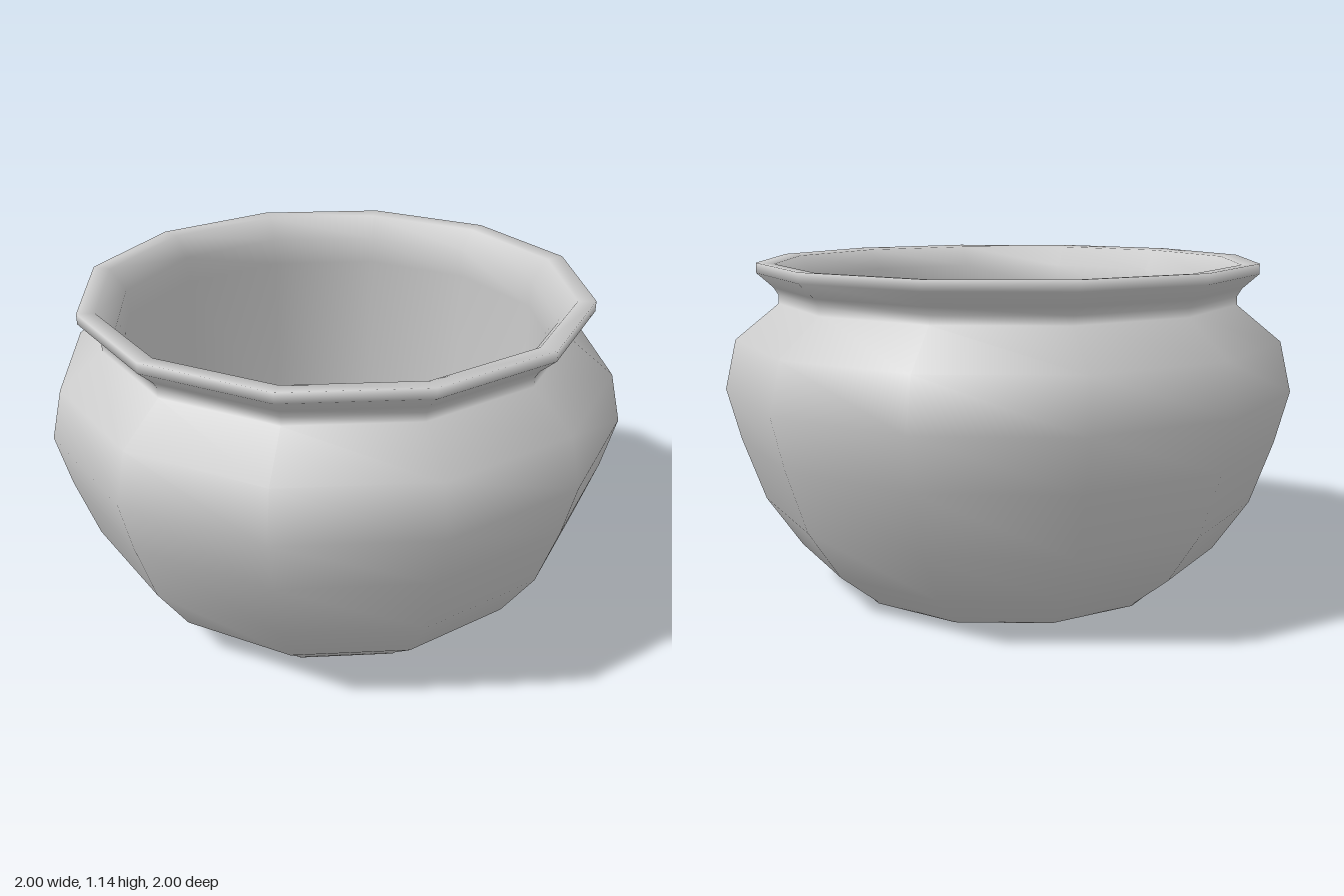
import * as THREE from 'three';

const SIDES = 12;

// Revolve a list of [radius, height] pairs into a smooth-shaded twelve-sided shell
function turned(name, profile) {
  const points = profile.map(([r, y]) => new THREE.Vector2(r, y));
  const mesh = new THREE.Mesh(
    new THREE.LatheGeometry(points, SIDES),
    new THREE.MeshStandardMaterial({ color: 0xcccccc })
  );
  mesh.name = name;
  return mesh;
}

export function createModel() {
  const group = new THREE.Group();
  group.name = 'pot';

  // One continuous wall: base, belly, neck, flared rim, then down the inside
  group.add(turned('potBody', [
    // base with a softened edge, and outer belly
    [0, 0], [0.61, 0], [0.615, 0.008], [0.76, 0.13], [0.88, 0.31], [0.955, 0.53],
    [1, 0.71], [0.96, 0.88], [0.81, 1.0],
    // neck and flared rim
    [0.81, 1.03], [0.825, 1.055], [0.88, 1.105], [0.88, 1.14], [0.82, 1.135],
    // straight inner wall, rounded into the floor
    [0.765, 1.06], [0.76, 0.96], [0.76, 0.26], [0.72, 0.17],
    [0.585, 0.07], [0.58, 0.06], [0, 0.06],
  ]));

  return group;
}
